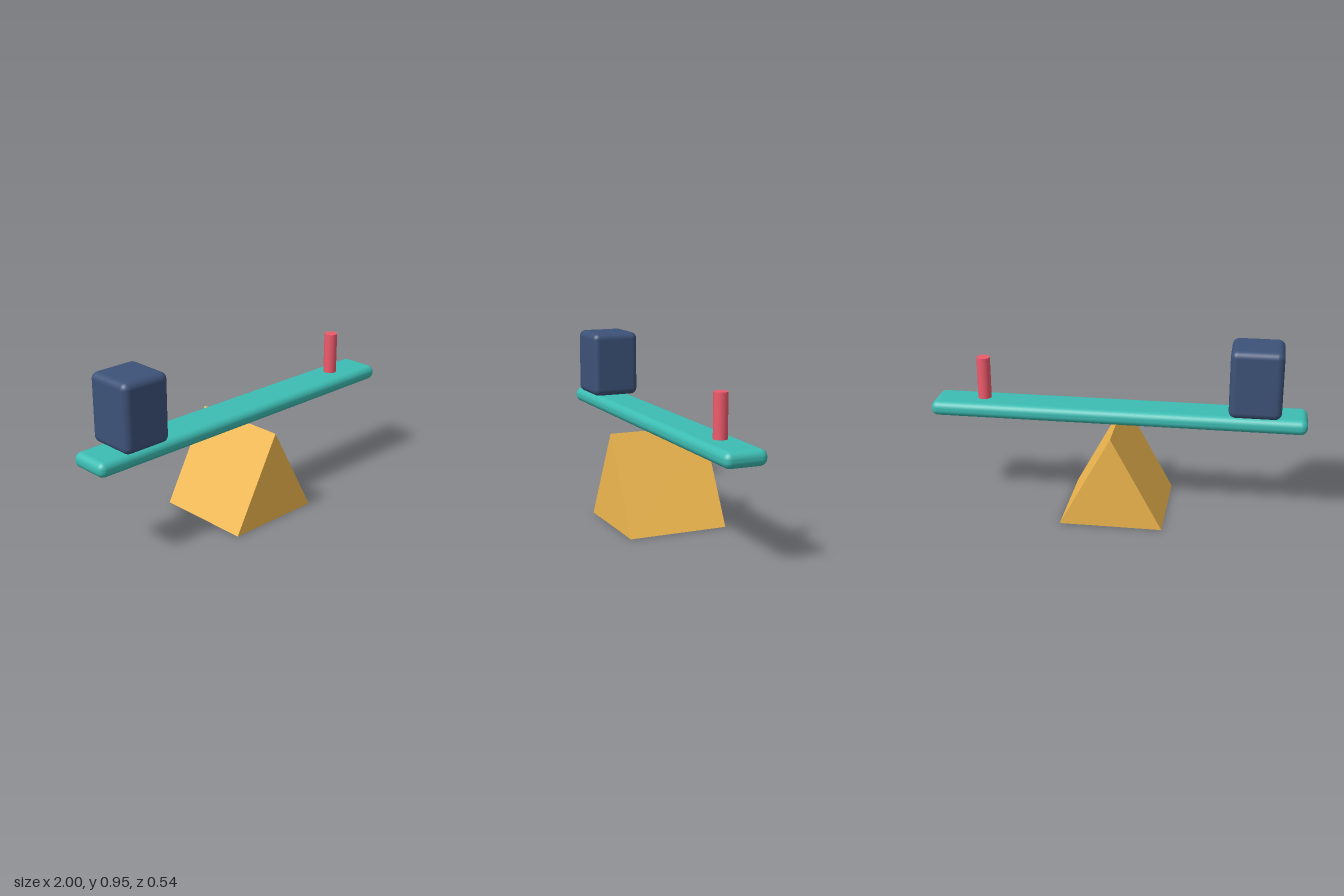
import * as THREE from 'three';
import { RoundedBoxGeometry } from 'three/addons/geometries/RoundedBoxGeometry.js';

export function createModel() {
  const group = new THREE.Group();

  const add = (name, geometry, color, x, y, flatShading = false) => {
    const mesh = new THREE.Mesh(geometry, new THREE.MeshStandardMaterial({ color, flatShading }));
    mesh.name = name;
    mesh.position.set(x, y, 0);
    group.add(mesh);
  };

  // Triangular prism the plank balances on
  const half = 0.272;
  const triangle = new THREE.Shape([
    new THREE.Vector2(-half, 0),
    new THREE.Vector2(half, 0),
    new THREE.Vector2(0, 0.5),
  ]);
  const prism = new THREE.ExtrudeGeometry(triangle, { depth: half * 2, bevelEnabled: false });
  prism.translate(0, 0, -half);
  add('fulcrum', prism, 0xf2b950, 0, 0, true);

  // Long rounded plank
  add('plank', new RoundedBoxGeometry(2, 0.08, 0.226, 6, 0.036), 0x3dbdb3, 0, 0.547);

  // Heavy block on one end, slim peg on the other
  add('heavyBlock', new RoundedBoxGeometry(0.272, 0.363, 0.272, 6, 0.036), 0x3d5278, -0.727, 0.7735);
  add('peg', new THREE.CylinderGeometry(0.036, 0.036, 0.227, 32), 0xef5a6c, 0.725, 0.7055);

  return group;
}
